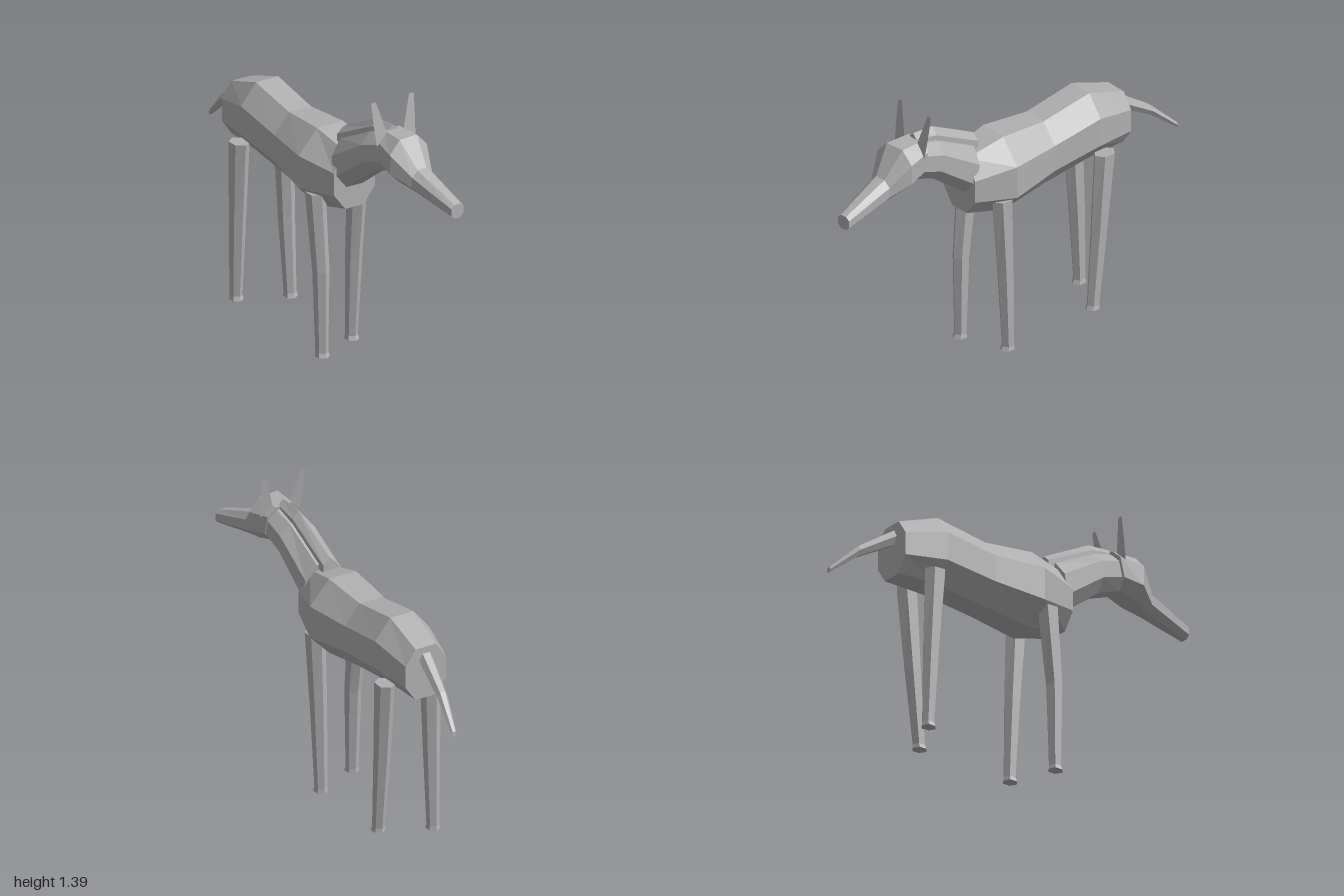
import * as THREE from 'three';

const greyCoat = new THREE.MeshStandardMaterial({ color: 0xb0b0b0 });
greyCoat.name = 'greyCoat';
const greyEar = new THREE.MeshStandardMaterial({ color: 0xb0b0b0, side: THREE.DoubleSide });
greyEar.name = 'greyEar';

// Joins cross-section rings into a faceted solid with closed ends
function loft(name, rings) {
  const n = rings[0].length, pos = [];
  const tri = (a, b, c) => pos.push(...a, ...b, ...c);
  for (let i = 0; i < rings.length - 1; i++) {
    for (let j = 0; j < n; j++) {
      const k = (j + 1) % n, [p, q] = [rings[i], rings[i + 1]];
      tri(p[j], p[k], q[k]);
      tri(p[j], q[k], q[j]);
    }
  }
  const first = rings[0], last = rings[rings.length - 1];
  for (let j = 1; j < n - 1; j++) {
    tri(first[0], first[j + 1], first[j]);
    tri(last[0], last[j], last[j + 1]);
  }
  const geo = new THREE.BufferGeometry();
  geo.setAttribute('position', new THREE.Float32BufferAttribute(pos, 3));
  geo.computeVertexNormals();
  const mesh = new THREE.Mesh(geo, greyCoat);
  mesh.name = name;
  return mesh;
}

// Eight-sided section: heights of its four levels, half width, half flat,
// tilt moves the bottom forward, turn skews it about the vertical
function octagon({ x = 0, z, y, w, f, tilt = 0, turn = 0 }) {
  const [top, up, low, bottom] = y;
  const outline = [[w, low], [w, up], [f, top], [-f, top], [-w, up], [-w, low], [-f, bottom], [f, bottom]];
  return outline.map(([px, py]) => [x + px, py, z + tilt * (top - py) / (top - bottom) - turn * px]);
}

// Six-sided leg from sections [x, y, z, x radius, z radius], bottom to top
function leg(name, sections) {
  return loft(name, sections.map(([x, y, z, rx, rz]) =>
    Array.from({ length: 6 }, (_, i) => {
      const a = i * Math.PI / 3;
      return [x + rx * Math.sin(a) / 0.866, y, z + rz * Math.cos(a)];
    })));
}

export function createModel() {
  const model = new THREE.Group();
  model.name = 'horse';

  // Barrel from rump to chest
  model.add(loft('body', [
    { z: -0.68, y: [1.05, 0.975, 0.865, 0.79], w: 0.108, f: 0.055 },
    { z: -0.47, y: [1.12, 1.02, 0.88, 0.785], w: 0.143, f: 0.062 },
    { z: -0.2, y: [1.07, 0.975, 0.845, 0.745], w: 0.14, f: 0.06 },
    { z: 0.05, y: [1.085, 0.97, 0.81, 0.705], w: 0.173, f: 0.072 },
    { z: 0.25, y: [1.035, 0.94, 0.83, 0.75], w: 0.112, f: 0.05 },
  ].map(octagon)));

  // Neck
  model.add(loft('neck', [
    { z: 0.2, y: [1.08, 1.01, 0.91, 0.85], w: 0.1, f: 0.045, tilt: 0.04 },
    { x: 0.01, z: 0.42, y: [1.19, 1.14, 1.06, 1.005], w: 0.092, f: 0.042, tilt: 0.03 },
    { x: 0.02, z: 0.53, y: [1.22, 1.175, 1.1, 1.05], w: 0.085, f: 0.04, tilt: 0.04 },
  ].map(octagon)));

  // Head and muzzle, turned slightly to the left
  model.add(loft('head', [
    { x: 0.02, z: 0.525, y: [1.235, 1.195, 1.1, 1.05], w: 0.09, f: 0.045, tilt: 0.045, turn: 0.1 },
    { x: 0.025, z: 0.655, y: [1.235, 1.175, 1.08, 1.025], w: 0.108, f: 0.05, turn: 0.1 },
    { x: 0.037, z: 0.75, y: [1.11, 1.08, 1.03, 0.997], w: 0.058, f: 0.026, turn: 0.1 },
    { x: 0.068, z: 0.995, y: [1.015, 1.0, 0.965, 0.947], w: 0.036, f: 0.016, turn: 0.1 },
  ].map(octagon)));

  // Ridged mane: [x, z, bottom, side, ridge, half width]
  model.add(loft('mane', [
    [-0.003, 0.165, 1.04, 1.09, 1.12, 0.035],
    [0.01, 0.42, 1.165, 1.215, 1.25, 0.03],
    [0.018, 0.54, 1.19, 1.235, 1.26, 0.026],
  ].map(([x, z, low, mid, top, w]) =>
    [[x + w, low, z], [x + w, mid, z], [x, top, z], [x - w, mid, z], [x - w, low, z]])));

  // Tail: [x, y, z, half width, half height], tip to root
  model.add(loft('tail', [
    [0.045, 0.757, -1.0, 0.014, 0.013],
    [0.02, 0.877, -0.86, 0.026, 0.025],
    [-0.002, 0.985, -0.675, 0.037, 0.036],
  ].map(([x, y, z, w, h]) => Array.from({ length: 6 }, (_, i) => {
    const a = i * Math.PI / 3;
    return [x + w * Math.cos(a), y + h * Math.sin(a) / 0.866, z];
  }))));

  // Legs with a small flared hoof: hoof y, z positions at hoof, knee and top
  const legs = [
    ['frontLegLeft', 1, 0, 0.055, 0.072, 0.095, 0.8],
    ['frontLegRight', -1, 0, 0.15, 0.145, 0.105, 0.8],
    ['hindLegLeft', 1, 0.028, -0.45, -0.483, -0.513, 0.82],
    ['hindLegRight', -1, 0.028, -0.557, -0.542, -0.522, 0.82],
  ];
  for (const [name, s, foot, zFoot, zKnee, zTop, top] of legs) {
    model.add(leg(name, [
      [s * 0.112, foot, zFoot + 0.003, 0.029, 0.038],
      [s * 0.112, foot + 0.02, zFoot, 0.025, 0.032],
      [s * 0.114, 0.42, zKnee, 0.033, 0.043],
      [s * 0.118, top, zTop, 0.039, 0.056],
    ]));
  }

  // Thin upright ears leaning back
  for (const s of [1, -1]) {
    const shape = new THREE.Shape([
      [0.045, 1.23], [0.105, 1.18], [0.112, 1.27], [0.116, 1.38], [0.11, 1.388], [0.092, 1.388], [0.086, 1.37],
    ].map(([x, y]) => new THREE.Vector2(s * x, y)));
    const geo = new THREE.ShapeGeometry(shape);
    const p = geo.attributes.position;
    for (let i = 0; i < p.count; i++) p.setZ(i, 0.563 - (p.getY(i) - 1.18) * 0.15);
    geo.computeVertexNormals();
    const ear = new THREE.Mesh(geo, greyEar);
    ear.name = s > 0 ? 'earLeft' : 'earRight';
    ear.position.x = 0.02;
    model.add(ear);
  }
  return model;
}
